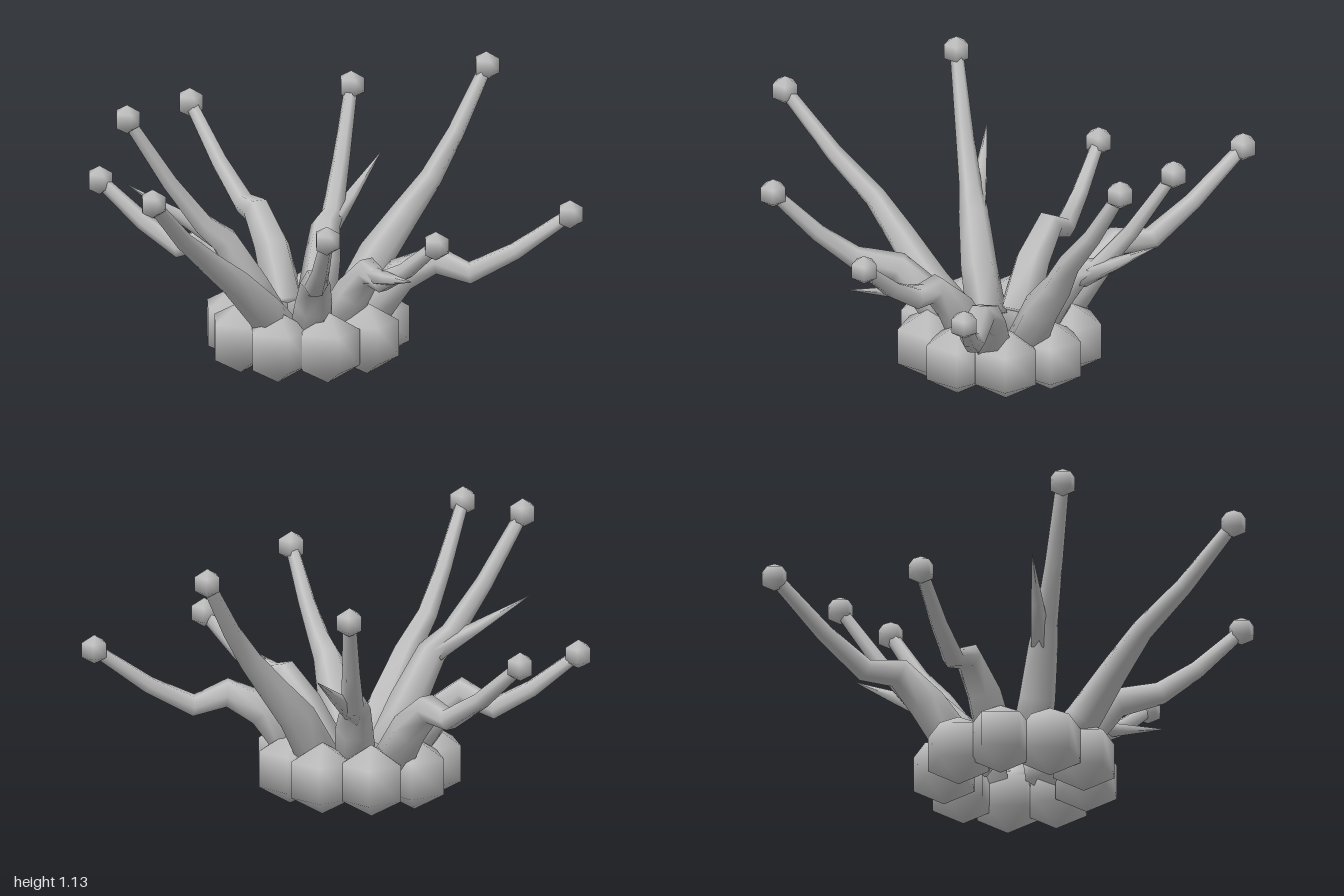
import * as THREE from 'three';

// Lofted tapering tube along points, with one radius per point
function loft(pts, radii, sides) {
  const last = pts.length - 1;
  const pos = [], index = [];
  const right = new THREE.Vector3(), up = new THREE.Vector3();
  pts.forEach((p, i) => {
    const dir = pts[Math.min(i + 1, last)].clone().sub(pts[Math.max(i - 1, 0)]).normalize();
    right.set(dir.z, 0, -dir.x).normalize();
    up.crossVectors(dir, right);
    for (let s = 0; s < sides; s++) {
      const a = (s / sides) * Math.PI * 2;
      const v = p.clone().addScaledVector(right, Math.cos(a) * radii[i]).addScaledVector(up, Math.sin(a) * radii[i]);
      pos.push(v.x, v.y, v.z);
    }
  });
  for (let i = 0; i < last; i++) {
    for (let s = 0; s < sides; s++) {
      const t = (s + 1) % sides;
      const a = i * sides + s, b = i * sides + t;
      index.push(a, b, b + sides, a, b + sides, a + sides);
    }
  }
  for (let s = 1; s < sides - 1; s++) index.push(0, s + 1, s); // root cap
  const g = new THREE.BufferGeometry();
  g.setAttribute('position', new THREE.Float32BufferAttribute(pos, 3));
  g.setIndex(index);
  g.computeVertexNormals();
  return g;
}

export function createModel() {
  const group = new THREE.Group();
  const grey = new THREE.MeshStandardMaterial({ color: 0xc0c0c0 });
  grey.name = 'stone grey';
  const add = (name, geometry, position = new THREE.Vector3()) => {
    const m = new THREE.Mesh(geometry, grey);
    m.name = name;
    m.position.copy(position);
    group.add(m);
  };
  const vec = p => new THREE.Vector3(...p);

  // Ring of faceted lobes forming the foot
  const centre = new THREE.Vector3(0, 0.153, -0.115);
  const lobe = new THREE.SphereGeometry(0.148, 5, 3);
  for (let i = 0; i < 9; i++) {
    const a = THREE.MathUtils.degToRad(13 + i * 40);
    add('baseLobe', lobe, new THREE.Vector3(Math.sin(a), 0, Math.cos(a)).multiplyScalar(0.29).add(centre));
  }

  // Tentacle: the root leans in to the ring centre, the last stretch sags a little
  const radii = [0.085, 0.075, 0.06, 0.046, 0.036, 0.027];
  const bulb = new THREE.SphereGeometry(0.06, 5, 3);
  const tentacle = (...points) => {
    const [base, knee, bend, tip] = points.map(vec);
    const root = centre.clone().lerp(base, 0.6).setY(0.18);
    const sag = bend.clone().lerp(tip, 0.45);
    sag.y -= 0.02;
    add('tentacle', loft([root, base, knee, bend, sag, tip], radii, 6));
    add('tipBulb', bulb, tip);
  };
  // Counted round from the front
  tentacle([0.02, 0.3, 0.2], [0, 0.46, 0.37], [-0.025, 0.58, 0.52], [0, 0.94, 0.95]);
  tentacle([0.19, 0.34, 0.1], [0.26, 0.46, 0.19], [0.36, 0.5, 0.33], [0.58, 0.79, 0.57]);
  tentacle([0.25, 0.35, -0.09], [0.35, 0.46, -0.06], [0.43, 0.44, -0.03], [0.72, 0.65, 0.01]);
  tentacle([0.33, 0.38, -0.31], [0.46, 0.45, -0.37], [0.58, 0.4, -0.43], [0.92, 0.65, -0.64]);
  tentacle([0.13, 0.4, -0.43], [0.18, 0.54, -0.55], [0.24, 0.68, -0.65], [0.3, 1.08, -0.95]);
  tentacle([-0.08, 0.36, -0.35], [-0.12, 0.47, -0.43], [-0.14, 0.5, -0.51], [-0.25, 0.94, -0.8]);
  tentacle([-0.31, 0.38, -0.33], [-0.42, 0.49, -0.39], [-0.54, 0.48, -0.47], [-0.92, 0.79, -0.64]);
  tentacle([-0.3, 0.36, -0.06], [-0.42, 0.47, -0.05], [-0.55, 0.41, -0.03], [-0.88, 0.65, 0.05]);
  tentacle([-0.13, 0.36, 0.08], [-0.2, 0.55, 0.16], [-0.26, 0.62, 0.22], [-0.47, 1.08, 0.45]);

  // Thin side spikes branching from three tentacles
  const spike = (from, to) => {
    const a = vec(from), b = vec(to);
    add('spike', loft([a, a.clone().lerp(b, 0.45), b], [0.045, 0.027, 0.001], 5));
  };
  spike([0.34, 0.44, -0.06], [0.68, 0.52, 0.12]);
  spike([-0.12, 0.44, -0.43], [-0.12, 0.68, -0.82]);
  spike([-0.22, 0.55, 0.16], [-0.54, 0.77, 0.35]);
  return group;
}
